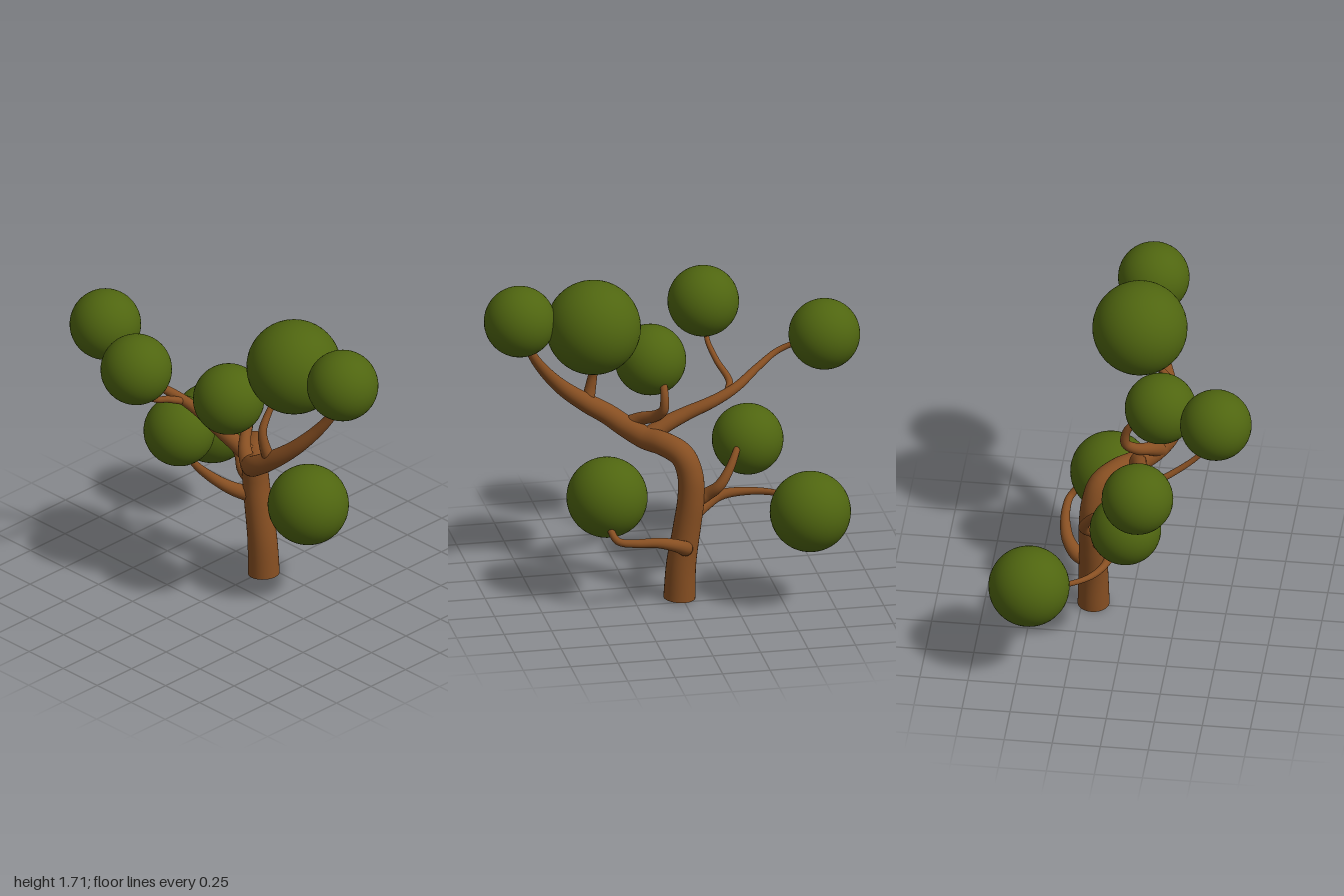
import * as THREE from 'three';

const bark = new THREE.MeshStandardMaterial({ name: 'bark', color: 0x874f22 });
const leaf = new THREE.MeshStandardMaterial({ name: 'leafGreen', color: 0x4f6510 });

// Limb along a smooth path; radii are spread evenly along its length
function limb(name, points, radii, segments = 40, sides = 20) {
  const curve = new THREE.CatmullRomCurve3(points.map(p => new THREE.Vector3(...p)));
  const geo = new THREE.TubeGeometry(curve, segments, 1, sides, false);
  const pos = geo.attributes.position;
  const v = new THREE.Vector3();
  const radiusAt = t => {
    const f = t * (radii.length - 1);
    const i = Math.min(Math.floor(f), radii.length - 2);
    return THREE.MathUtils.lerp(radii[i], radii[i + 1], f - i);
  };
  for (let i = 0; i <= segments; i++) {
    const centre = curve.getPointAt(i / segments);
    const r = radiusAt(i / segments);
    for (let j = 0; j <= sides; j++) {
      const k = i * (sides + 1) + j;
      v.fromBufferAttribute(pos, k).sub(centre).multiplyScalar(r).add(centre);
      pos.setXYZ(k, v.x, v.y, v.z);
    }
  }
  const group = new THREE.Group();
  group.name = name;
  const tube = new THREE.Mesh(geo, bark);
  tube.name = name + 'Tube';
  group.add(tube);
  // Flat discs close both ends
  for (const t of [0, 1]) {
    const cap = new THREE.Mesh(new THREE.CircleGeometry(radiusAt(t), sides), bark);
    cap.name = name + (t ? 'Tip' : 'Base');
    const dir = curve.getTangentAt(t).multiplyScalar(t ? 1 : -1);
    cap.quaternion.setFromUnitVectors(new THREE.Vector3(0, 0, 1), dir);
    cap.position.copy(curve.getPointAt(t));
    group.add(cap);
  }
  return group;
}

export function createModel() {
  const tree = new THREE.Group();
  tree.name = 'tree';

  // Trunk bends forward and sweeps up to the front
  tree.add(limb('trunk', [
    [0.19, 0.01, 0.015], [0.19, 0.2, 0.005], [0.19, 0.4, -0.025], [0.19, 0.55, -0.045],
    [0.18, 0.68, -0.045], [0.15, 0.78, -0.01], [0.07, 0.82, 0.07], [-0.02, 0.825, 0.15],
    [-0.12, 0.86, 0.24], [-0.175, 0.91, 0.32], [-0.165, 0.99, 0.44], [-0.12, 1.1, 0.57],
    [-0.06, 1.23, 0.68], [-0.025, 1.34, 0.75], [-0.02, 1.46, 0.8],
  ], [0.083, 0.073, 0.067, 0.06, 0.052, 0.034, 0.016], 90, 28));

  // Side branches
  tree.add(limb('lowFrontBranch', [
    [0.19, 0.29, 0.0], [0.265, 0.31, 0.0], [0.325, 0.355, 0.06], [0.355, 0.39, 0.16],
    [0.365, 0.4, 0.28], [0.355, 0.415, 0.37], [0.31, 0.46, 0.4], [0.25, 0.5, 0.4],
  ], [0.045, 0.034, 0.025, 0.02, 0.017]));
  tree.add(limb('lowBackBranch', [
    [0.18, 0.45, -0.04], [0.11, 0.48, -0.13], [0.07, 0.515, -0.23], [0.09, 0.53, -0.39],
    [0.15, 0.535, -0.5], [0.25, 0.54, -0.58], [0.35, 0.54, -0.61],
  ], [0.045, 0.03, 0.02, 0.015, 0.013]));
  tree.add(limb('midBackBranch', [
    [0.18, 0.53, -0.06], [0.185, 0.57, -0.13], [0.215, 0.625, -0.19],
    [0.195, 0.7, -0.245], [0.14, 0.78, -0.295], [0.08, 0.8, -0.32],
  ], [0.04, 0.03, 0.022, 0.014]));
  tree.add(limb('longBackBranch', [
    [-0.02, 0.83, 0.14], [-0.04, 0.88, 0.05], [-0.055, 0.925, -0.06], [-0.065, 0.985, -0.22],
    [-0.1, 1.035, -0.34], [-0.18, 1.105, -0.47], [-0.24, 1.16, -0.58], [-0.235, 1.2, -0.67],
    [-0.18, 1.24, -0.75],
  ], [0.05, 0.036, 0.026, 0.017, 0.013], 60));
  tree.add(limb('rightTwig', [
    [-0.08, 1.01, -0.29], [-0.17, 1.045, -0.32], [-0.3, 1.11, -0.28],
    [-0.4, 1.19, -0.25], [-0.44, 1.27, -0.25],
  ], [0.02, 0.016, 0.012]));
  tree.add(limb('middleBranch', [
    [-0.13, 0.86, 0.23], [-0.09, 0.905, 0.16], [-0.02, 0.945, 0.095], [0.03, 0.995, 0.065],
    [0.025, 1.07, 0.06], [-0.01, 1.125, 0.06], [-0.06, 1.16, 0.07],
  ], [0.045, 0.033, 0.027, 0.021, 0.016]));
  tree.add(limb('upperBranch', [
    [-0.165, 0.97, 0.43], [-0.19, 1.07, 0.405], [-0.188, 1.15, 0.39],
    [-0.14, 1.225, 0.38], [-0.08, 1.3, 0.38],
  ], [0.036, 0.022, 0.014]));

  // Round leaf clusters: name, centre, radius
  const clusters = [
    ['frontTopLeaves', [-0.025, 1.525, 0.813], 0.185],
    ['crownLeaves', [0, 1.472, 0.43], 0.246],
    ['middleLeaves', [-0.148, 1.207, 0.1], 0.185],
    ['rightLeaves', [-0.478, 1.375, -0.245], 0.185],
    ['farBackLeaves', [-0.14, 1.28, -0.815], 0.185],
    ['midBackLeaves', [-0.025, 0.775, -0.388], 0.185],
    ['lowBackLeaves', [0.448, 0.54, -0.623], 0.21],
    ['lowFrontLeaves', [0.146, 0.58, 0.387], 0.21],
  ];
  for (const [name, centre, radius] of clusters) {
    const ball = new THREE.Mesh(new THREE.SphereGeometry(radius, 40, 28), leaf);
    ball.name = name;
    ball.position.set(...centre);
    tree.add(ball);
  }
  return tree;
}
